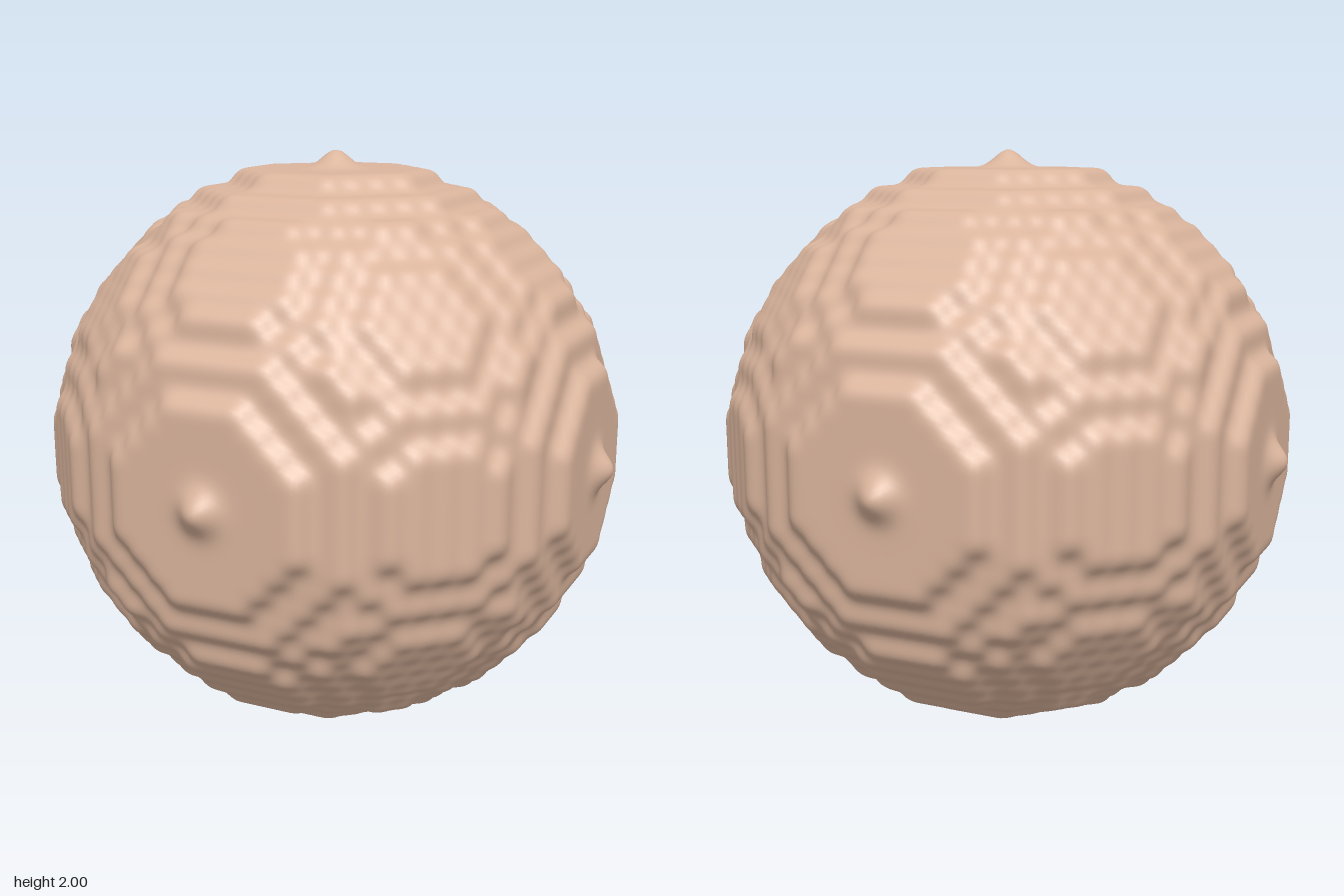
import * as THREE from 'three';
import { mergeVertices } from 'three/addons/utils/BufferGeometryUtils.js';

const N = 16;             // ball radius in lattice steps
const UNIT = 1 / 16.5;    // size of one step

// Lattice ball without its six lone tip points
const inside = (x, y, z) => {
  const d = x * x + y * y + z * z;
  return d <= N * N && Math.max(Math.abs(x), Math.abs(y), Math.abs(z)) < N ? 1 : 0;
};

// Quadratic spline weights for the three nearest lattice points
const weights = (t) => [0.5 * (0.5 - t) ** 2, 0.75 - t * t, 0.5 * (0.5 + t) ** 2];

// Smoothed density of the stepped ball
function density(x, y, z) {
  const ix = Math.round(x), iy = Math.round(y), iz = Math.round(z);
  const wx = weights(x - ix), wy = weights(y - iy), wz = weights(z - iz);
  let sum = 0;
  for (let a = 0; a < 3; a++)
    for (let b = 0; b < 3; b++)
      for (let c = 0; c < 3; c++)
        sum += wx[a] * wy[b] * wz[c] * inside(ix + a - 1, iy + b - 1, iz + c - 1);
  return sum;
}

// Distance from the centre to the surface along a direction
function surfaceRadius(d) {
  let lo = 13.5, hi = 17.5;
  for (let i = 0; i < 12; i++) {
    const m = (lo + hi) / 2;
    if (density(d.x * m, d.y * m, d.z * m) > 0.5) lo = m;
    else hi = m;
  }
  // Rounded nub at each end of the three axes
  const axis = Math.max(Math.abs(d.x), Math.abs(d.y), Math.abs(d.z));
  const off2 = Math.max(0, 1 - axis * axis);
  return lo * UNIT + 0.0606 * Math.exp(-off2 / 0.065 ** 2);
}

export function createModel() {
  const group = new THREE.Group();
  group.name = 'steppedBall';
  const clay = new THREE.MeshStandardMaterial({ color: 0xdbb59d });
  clay.name = 'warm clay';

  // Fine sphere pushed out to the terraced surface
  let geo = new THREE.IcosahedronGeometry(1, 72);
  geo.deleteAttribute('normal');
  geo.deleteAttribute('uv');
  geo = mergeVertices(geo, 1e-4);
  const pos = geo.attributes.position;
  const d = new THREE.Vector3();
  for (let i = 0; i < pos.count; i++) {
    d.fromBufferAttribute(pos, i).normalize();
    d.multiplyScalar(surfaceRadius(d));
    pos.setXYZ(i, d.x, d.y, d.z);
  }
  geo.computeVertexNormals();

  const ball = new THREE.Mesh(geo, clay);
  ball.name = 'terracedBall';
  ball.position.y = 1;
  group.add(ball);
  return group;
}
